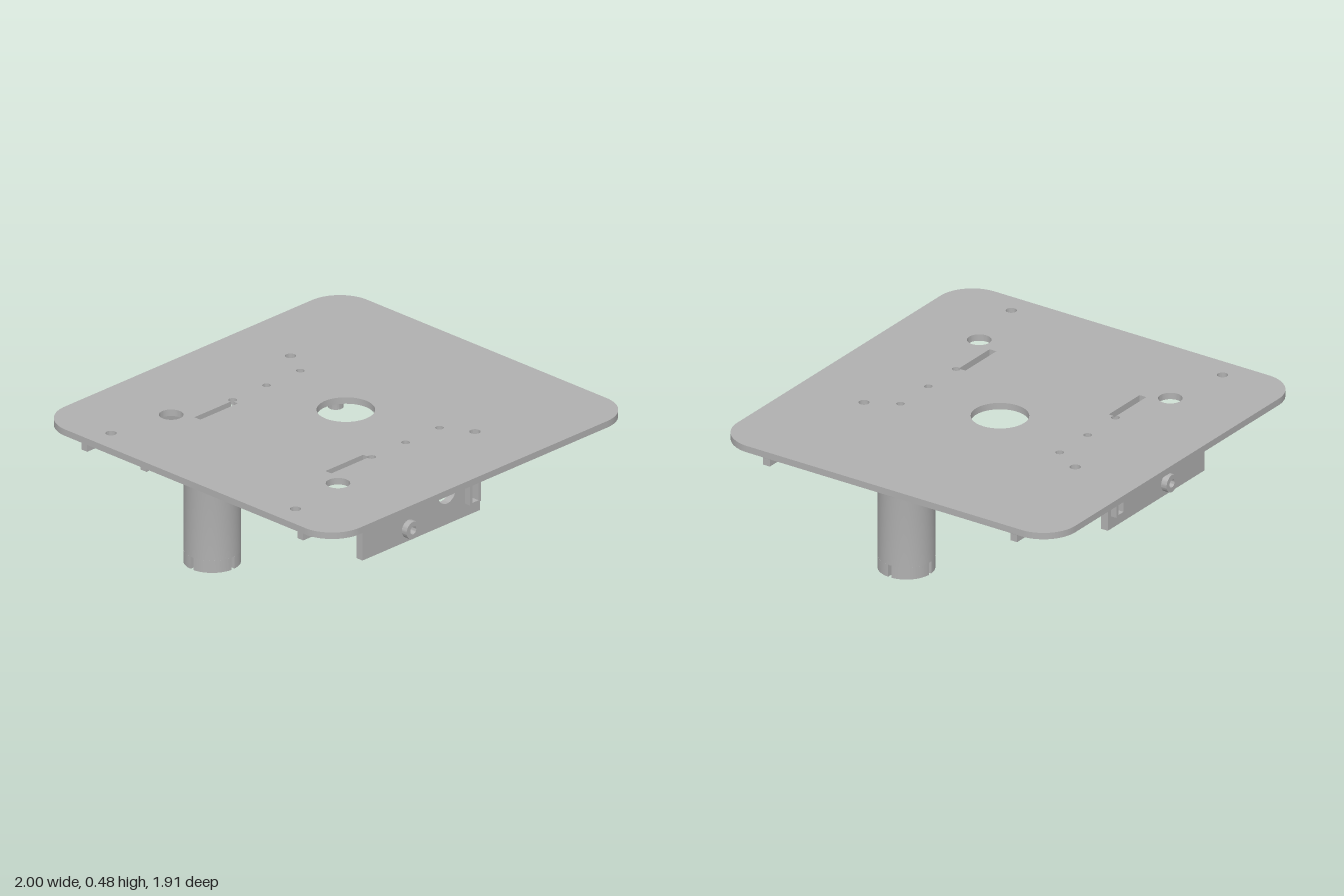
import * as THREE from 'three';
import { toCreasedNormals } from 'three/addons/utils/BufferGeometryUtils.js';

const TOP = 0.478, UNDER = 0.445, FILLET = 0.03;

export function createModel() {
  const grey = new THREE.MeshStandardMaterial({ color: 0xb0b0b0 });
  grey.name = 'plain grey';
  const model = new THREE.Group();
  model.name = 'mountingPlate';

  const add = (parent, name, geo) => {
    const mesh = new THREE.Mesh(toCreasedNormals(geo, 0.5), grey);
    mesh.name = name;
    parent.add(mesh);
    return mesh;
  };
  const group = (parent, name) => {
    const g = new THREE.Group();
    g.name = name;
    parent.add(g);
    return g;
  };
  const circle = (x, y, r) => new THREE.Path().absarc(x, y, r, 0, Math.PI * 2);
  const poly = (pts) => pts.map(([x, y]) => new THREE.Vector2(x, y));
  const rect = (x0, y0, x1, y1) => poly([[x0, y0], [x1, y0], [x1, y1], [x0, y1]]);
  const extrude = (shape, depth) =>
    new THREE.ExtrudeGeometry(shape, { depth, bevelEnabled: false, curveSegments: 20 });

  // Concave quarter curve that flares outward up to the plate: [offset, height]
  const flare = [];
  for (let i = 0; i <= 6; i++) {
    const t = (i / 6) * Math.PI / 2;
    flare.push([FILLET * (1 - Math.cos(t)), UNDER - FILLET + FILLET * Math.sin(t)]);
  }

  // Top plate with rounded corners
  const W = 1, D = 0.955, R = 0.18;
  const plate = new THREE.Shape();
  plate.absarc(W - R, D - R, R, 0, Math.PI / 2);
  plate.absarc(R - W, D - R, R, Math.PI / 2, Math.PI);
  plate.absarc(R - W, R - D, R, Math.PI, Math.PI * 1.5);
  plate.absarc(W - R, R - D, R, Math.PI * 1.5, Math.PI * 2);
  plate.holes.push(circle(0.065, 0, 0.136));
  for (const s of [1, -1]) {
    for (const [x, z, r] of [[-0.88, 0.597, 0.026], [0.31, 0.597, 0.026], [-0.54, 0.54, 0.057],
      [0, 0.45, 0.02], [0.225, 0.45, 0.02]]) plate.holes.push(circle(x, s * z, r));
    // Cable slot that runs into a screw hole
    const slot = new THREE.Path();
    slot.moveTo(-0.485, 0.405);
    slot.lineTo(-0.235, 0.405);
    slot.absarc(-0.225, 0.45, 0.02, -2.094, 3.5);
    slot.lineTo(-0.485, 0.443);
    const pts = slot.getPoints(16).map((p) => new THREE.Vector2(p.x, s * p.y));
    plate.holes.push(new THREE.Path(pts));
  }
  add(model, 'plate', extrude(plate, TOP - UNDER).rotateX(Math.PI / 2).translate(0, TOP, 0));

  // Hollow round post, flared where it meets the plate
  const post = (r, bore, bottom, roof) => new THREE.LatheGeometry([
    ...poly([[0, roof], [bore, roof], [bore, bottom], [r, bottom]]),
    ...poly(flare.map(([d, y]) => [r + d, y])),
  ], 48);

  // Legs: a tube whose foot is cut by four slots
  const LEG = 0.134, BORE = 0.083, CUT = 0.062, HALF = 0.01;
  const quarter = new THREE.Shape();
  const ao = Math.asin(HALF / LEG), ai = Math.asin(HALF / BORE);
  quarter.absarc(0, 0, LEG, ao, Math.PI / 2 - ao, false);
  quarter.absarc(0, 0, BORE, Math.PI / 2 - ai, ai, true);
  for (const s of [1, -1]) {
    const leg = group(model, s > 0 ? 'leftLeg' : 'rightLeg');
    leg.position.x = s * 0.821;
    add(leg, 'legTube', post(LEG, BORE, CUT, 0.3));
    for (let i = 0; i < 4; i++) {
      add(leg, 'footSegment', extrude(quarter, CUT)
        .rotateX(Math.PI / 2).translate(0, CUT, 0).rotateY(i * Math.PI / 2));
    }
  }

  // Four small screw posts under the plate
  for (const x of [0.213, 0.635]) for (const z of [0.21, -0.21]) {
    add(model, 'screwPost', post(0.036, 0.018, 0.376, 0.44)).position.set(x, 0, z);
  }

  // Flare around the top of a rail, built from rectangular rings
  function railFlare(hx, hz) {
    const pos = [], index = [];
    flare.forEach(([d, y], k) => {
      for (const [sx, sz] of [[1, 1], [1, -1], [-1, -1], [-1, 1]]) {
        pos.push(sx * (hx + d), y, sz * (hz + d));
      }
      if (k === 0) return;
      for (let i = 0; i < 4; i++) {
        const j = (i + 1) % 4, a = (k - 1) * 4, b = k * 4;
        index.push(a + i, a + j, b + j, a + i, b + j, b + i);
      }
    });
    const geo = new THREE.BufferGeometry();
    geo.setAttribute('position', new THREE.Float32BufferAttribute(pos, 3));
    geo.setIndex(index);
    return geo;
  }

  // Front and back rails, each with a hanging bracket, bosses and a framed slot
  const IN = 0.68, OUT = 0.718, FACE = 0.749, RX = 0.953;
  const bosses = [[-0.255, 0.405], [-0.255, 0.21]];
  for (const s of [1, -1]) {
    const rail = group(model, s > 0 ? 'frontRail' : 'backRail');
    // Place a plate from depth a to depth b on this side
    const slab = (name, shape, a, b) =>
      add(rail, name, extrude(shape, b - a).translate(0, 0, s > 0 ? a : -b));

    const wall = new THREE.Shape(poly([[-RX, UNDER], [-RX, 0.38], [-0.56, 0.38], [-0.56, 0.147],
      [0.22, 0.147], [0.22, 0.38], [RX, 0.38], [RX, UNDER]]));
    wall.holes.push(circle(0, 0.31, 0.058), new THREE.Path(rect(0.137, 0.22, 0.178, 0.396)));
    for (const [x, y] of bosses) wall.holes.push(circle(x, y, 0.02));
    slab('bracketWall', wall, IN, OUT);

    const frame = new THREE.Shape(rect(0.12, 0.212, 0.195, 0.402));
    frame.holes.push(new THREE.Path(rect(0.137, 0.22, 0.178, 0.396)));
    slab('slotFrame', frame, OUT, FACE);

    for (const [x, y] of bosses) {
      const ring = new THREE.Shape().absarc(x, y, 0.044, 0, Math.PI * 2);
      ring.holes.push(circle(x, y, 0.02));
      slab('screwBoss', ring, OUT, FACE);
    }
    add(rail, 'railFlare', railFlare(RX, (OUT - IN) / 2)).position.z = s * (IN + OUT) / 2;
  }
  return model;
}
